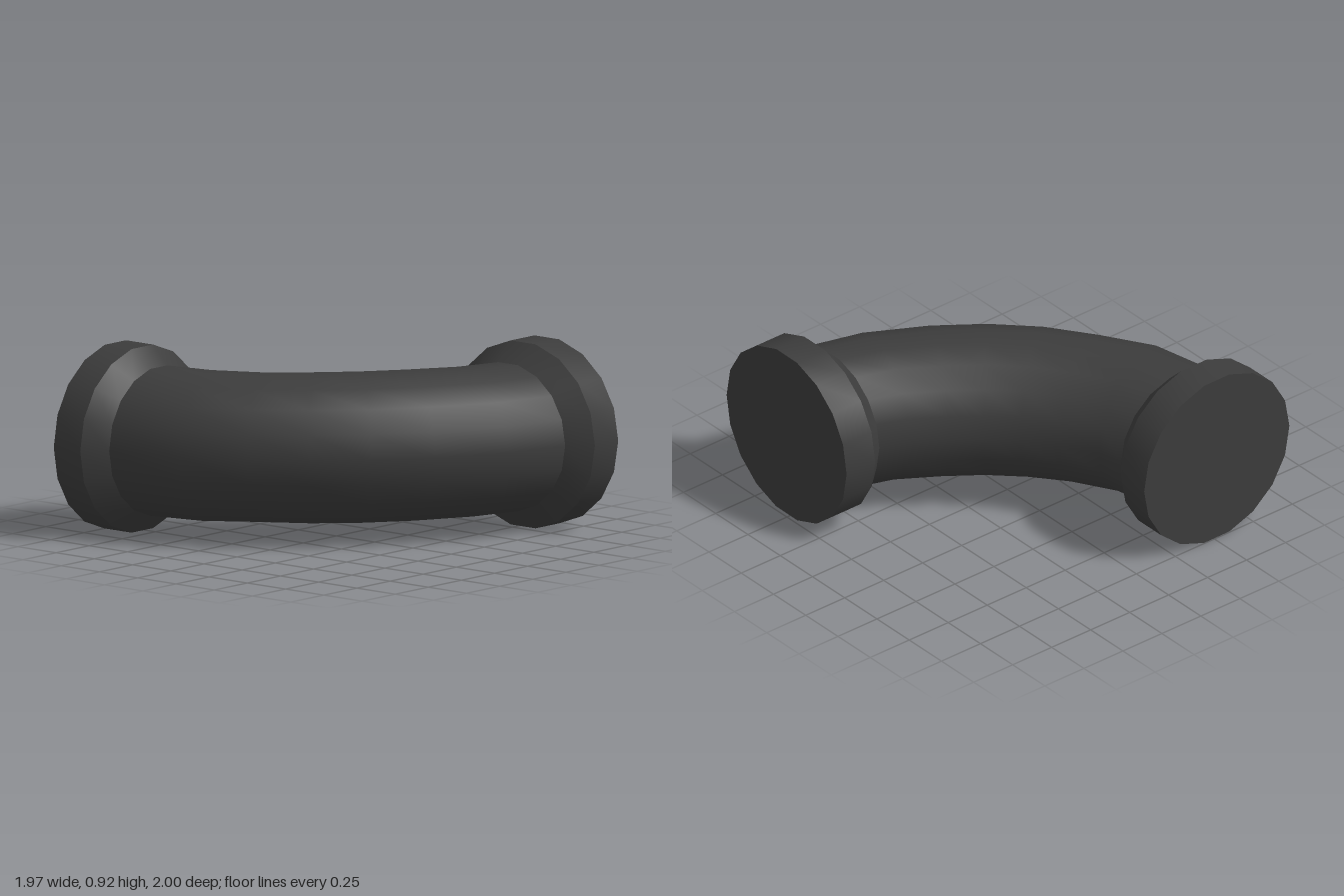
import * as THREE from 'three';

const SIDES = 18;
const RIM_RADIUS = 0.47;
const CENTRE_Y = RIM_RADIUS * Math.cos(Math.PI / SIDES);

// Each ring is given by its two opposite ends in plan: [innerX, innerZ, outerX, outerZ]
function loft(rings) {
  const pos = [], index = [];
  rings.forEach(([ix, iz, ox, oz], k) => {
    const cx = (ix + ox) / 2, cz = (iz + oz) / 2;
    const hx = (ox - ix) / 2, hz = (oz - iz) / 2;
    const r = Math.hypot(hx, hz);
    for (let i = 0; i < SIDES; i++) {
      const a = (i / SIDES) * Math.PI * 2, c = Math.cos(a);
      pos.push(cx + hx * c, CENTRE_Y + r * Math.sin(a), cz + hz * c);
      if (k === 0) continue;
      const j = (i + 1) % SIDES, p = (k - 1) * SIDES, q = k * SIDES;
      index.push(p + i, q + i, p + j, p + j, q + i, q + j);
    }
  });
  const geo = new THREE.BufferGeometry();
  geo.setAttribute('position', new THREE.Float32BufferAttribute(pos, 3));
  geo.setIndex(index);
  geo.computeVertexNormals();
  return geo;
}

export function createModel() {
  const model = new THREE.Group();
  model.name = 'pipeElbow';
  const material = new THREE.MeshStandardMaterial({ color: 0x3c3c3c });

  const add = (parent, name, rings) => {
    const mesh = new THREE.Mesh(loft(rings), material);
    mesh.name = name;
    parent.add(mesh);
  };

  // Curved pipe, from the back opening round to the left opening
  const bend = [
    [-0.13, -0.724, -0.879, -0.724],
    [-0.1, -0.59, -0.8, -0.33],
    [0.01, -0.41, -0.63, -0.04],
    [0.13, -0.26, -0.45, 0.21],
    [0.26, -0.135, -0.23, 0.43],
    [0.4, -0.03, 0.03, 0.62],
    [0.56, 0.08, 0.37, 0.8],
    [0.705, 0.14, 0.705, 0.885],
  ];
  add(model, 'bend', bend);

  // Flanges: sloped collar, straight rim and flat end, with sharp edges between
  const flange = (name, rings, atStart) => {
    const group = new THREE.Group();
    group.name = name;
    const [ix, iz, ox, oz] = rings[2];
    const mx = (ix + ox) / 2, mz = (iz + oz) / 2;
    const all = [...rings, [mx, mz, mx, mz]];
    ['collar', 'rim', 'endFace'].forEach((part, i) => {
      const band = [all[i], all[i + 1]];
      add(group, part, atStart ? band.reverse() : band);
    });
    model.add(group);
  };
  flange('backFlange', [
    bend[0],
    [-0.05, -0.82, -0.987, -0.82],
    [-0.05, -1, -0.987, -0.993],
  ], true);
  flange('leftFlange', [
    bend[bend.length - 1],
    [0.8, 0.058, 0.8, 0.997],
    [0.983, 0.058, 0.976, 0.997],
  ], false);

  // Face winding check: rings run from back to left, so sides face outward
  return model;
}
